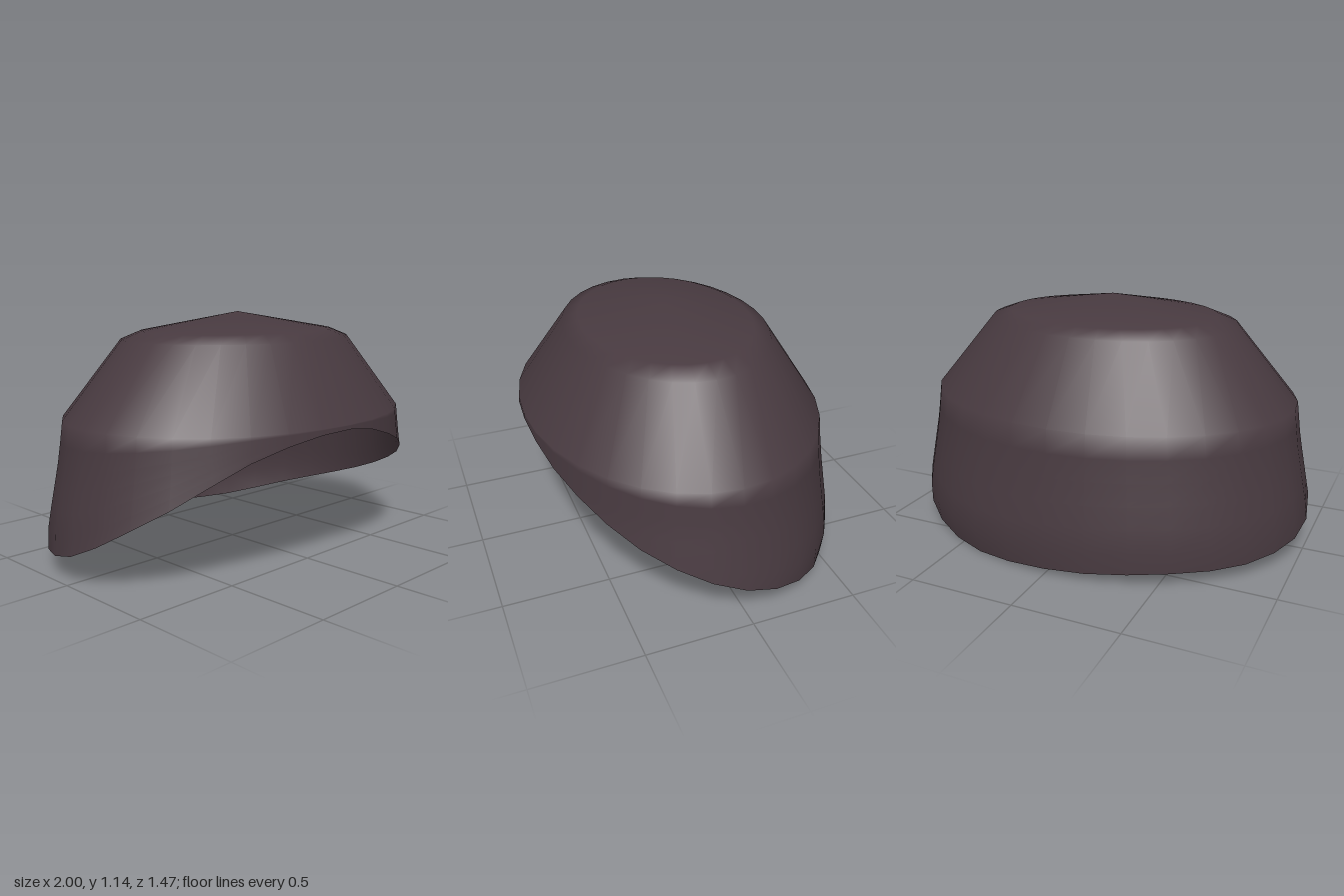
import * as THREE from 'three';

const SEGMENTS = 32;
const CENTRE_Z = 0.035;
const DEPTH = 0.765; // depth of each oval ring relative to its width

// Half-width of the shell by height, from the crown down to the hem
const PROFILE = [
  [1.055, 0.52], [1.02, 0.615], [0.67, 0.912], [0.5, 0.935],
  [0.35, 0.965], [0.2, 0.995], [0.12, 1.003], [0.05, 0.995], [0, 0.975],
];

function radiusAt(y) {
  for (let i = 1; i < PROFILE.length; i++) {
    const [y0, r0] = PROFILE[i - 1];
    const [y1, r1] = PROFILE[i];
    if (y >= y1) return THREE.MathUtils.mapLinear(y, y0, y1, r0, r1);
  }
  return PROFILE[PROFILE.length - 1][1];
}

// Hem height every 30 degrees, from the front round by the left side
const HEM = [0.65, 0.54, 0.365, 0.2, 0.08, 0.003, 0.03, 0.068, 0.077, 0.14, 0.35, 0.58];
const hemCurve = new THREE.CatmullRomCurve3(
  HEM.map((y, i) => new THREE.Vector3(i, y, 0)), true, 'catmullrom', 0.5);

function shellGeometry() {
  const positions = [0, 1.14, CENTRE_Z]; // apex
  const index = [];
  const upper = [1.055, 1.02, 0.67]; // level rings
  const lowerRows = 6; // rows that spread down to the hem
  const rows = upper.length + lowerRows;

  for (let i = 0; i < rows; i++) {
    for (let j = 0; j < SEGMENTS; j++) {
      const angle = (j / SEGMENTS) * Math.PI * 2;
      const hem = Math.max(0, hemCurve.getPoint(j / SEGMENTS).y);
      const y = i < upper.length
        ? upper[i]
        : THREE.MathUtils.lerp(0.67, hem, (i - upper.length + 1) / lowerRows);
      const r = radiusAt(y);
      positions.push(r * Math.sin(angle), y, CENTRE_Z + r * DEPTH * Math.cos(angle));
    }
  }

  const at = (i, j) => 1 + i * SEGMENTS + (j % SEGMENTS);
  for (let j = 0; j < SEGMENTS; j++) {
    index.push(0, at(0, j), at(0, j + 1));
    for (let i = 0; i < rows - 1; i++) {
      const a = at(i, j), b = at(i + 1, j), c = at(i + 1, j + 1), d = at(i, j + 1);
      index.push(a, b, d, b, c, d);
    }
  }

  const geometry = new THREE.BufferGeometry();
  geometry.setAttribute('position', new THREE.Float32BufferAttribute(positions, 3));
  geometry.setIndex(index);
  geometry.computeVertexNormals();
  return geometry;
}

export function createModel() {
  const group = new THREE.Group();
  group.name = 'cap';
  const darkBrown = new THREE.MeshStandardMaterial({ color: 0x483a40, side: THREE.DoubleSide });
  darkBrown.name = 'dark brown';

  // Thin open shell with a slanted hem
  const shell = new THREE.Mesh(shellGeometry(), darkBrown);
  shell.name = 'capShell';
  group.add(shell);
  return group;
}
